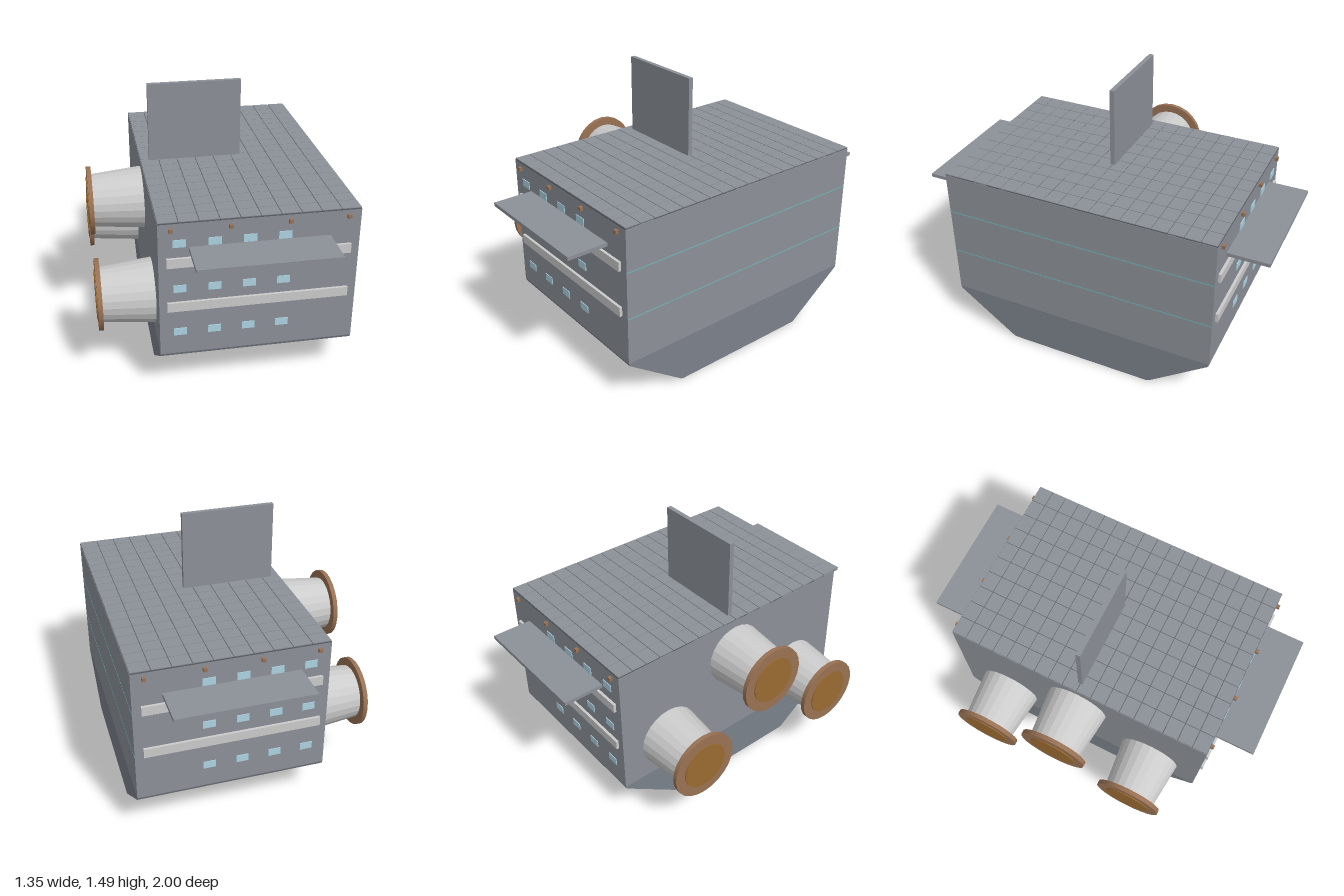
import * as THREE from 'three';

const paint = (color) => new THREE.MeshStandardMaterial({ color });

export function createModel() {
  const model = new THREE.Group();
  model.name = 'ship';

  const hullGrey = paint(0x8c9198);
  const keelGrey = paint(0x7b818b);
  const lightGrey = paint(0xcccccc);
  const coneGrey = paint(0xcccccc);
  coneGrey.flatShading = true;
  const glass = paint(0xaed4e4);
  const teal = paint(0x6fb3b5);
  const copper = paint(0x9a7254);
  const amber = paint(0x9a6a30);
  const seamGrey = paint(0x5c6066);

  const add = (name, geometry, material, parent = model) => {
    const mesh = new THREE.Mesh(geometry, material);
    mesh.name = name;
    parent.add(mesh);
    return mesh;
  };
  // Box given by its lower and upper limits on each axis
  const box = (name, [x0, x1], [y0, y1], [z0, z1], material, parent) => {
    const mesh = add(name, new THREE.BoxGeometry(x1 - x0, y1 - y0, z1 - z0), material, parent);
    mesh.position.set((x0 + x1) / 2, (y0 + y1) / 2, (z0 + z1) / 2);
    return mesh;
  };

  const X0 = -0.365, X1 = 0.67, Z = 0.775;

  // Main hull block, with a darker layer that shows between the roof plates
  box('hull', [X0, X1], [0.265, 1.03], [-Z, Z], hullGrey);
  box('roofSeams', [X0 + 0.002, X1 - 0.002], [1.03, 1.036], [-Z, Z], seamGrey);

  // Roof plating
  const roof = new THREE.Group();
  roof.name = 'roofPlating';
  model.add(roof);
  const cols = 10, rows = 18, gap = 0.002;
  const w = (X1 - X0) / cols, d = (2 * Z) / rows;
  for (let i = 0; i < cols; i++) {
    for (let j = 0; j < rows; j++) {
      const x = X0 + i * w, z = -Z + j * d;
      box('roofPlate', [x + gap, x + w - gap], [1.03, 1.04], [z + gap, z + d - gap], hullGrey, roof);
    }
  }

  // Tapered keel, a trapezoid extruded across the hull
  const section = new THREE.Shape([
    [-0.42, 0], [0.42, 0], [0.435, 0.006], [0.77, 0.25],
    [Z, 0.265], [-Z, 0.265], [-0.77, 0.25], [-0.435, 0.006],
  ].map(([a, b]) => new THREE.Vector2(a, b)));
  const keel = add('keel', new THREE.ExtrudeGeometry(section, { depth: X1 - X0, bevelEnabled: false }), keelGrey);
  keel.rotation.y = Math.PI / 2;
  keel.position.x = X0;

  // Deck seams along the plain side
  for (const y of [0.53, 0.795]) {
    box('deckSeam', [X1 - 0.01, X1 + 0.001], [y - 0.003, y + 0.003], [-Z, Z], teal);
  }

  // Top fin
  box('topFin', [-0.315, 0.205], [1.03, 1.485], [-0.013, 0.013], hullGrey);

  // Details repeated on the front and back walls
  for (const s of [1, -1]) {
    const wall = new THREE.Group();
    wall.name = s > 0 ? 'frontWall' : 'backWall';
    model.add(wall);
    const zSpan = (a, b) => (s > 0 ? [a, b] : [-b, -a]);

    box('sideFin', [-0.21, 0.515], [0.876, 0.896], zSpan(0.76, 1), hullGrey, wall);
    for (const y of [0.557, 0.815]) {
      box('band', [-0.325, 0.625], [y - 0.026, y + 0.026], zSpan(0.765, 0.79), lightGrey, wall);
    }
    for (const y of [0.4, 0.66, 0.92]) {
      for (let i = 0; i < 4; i++) {
        const x = -0.258 + i * 0.179;
        box('window', [x - 0.034, x + 0.034], [y - 0.021, y + 0.021], zSpan(0.765, 0.779), glass, wall);
      }
    }
    for (let i = 0; i < 4; i++) {
      const x = -0.302 + i * 0.302;
      box('lamp', [x - 0.01, x + 0.01], [0.988, 1.008], zSpan(0.77, 0.793), copper, wall);
    }
  }

  // Three engines on the side, the middle one higher
  for (const [y, z] of [[0.475, -0.47], [0.81, 0], [0.475, 0.47]]) {
    const engine = new THREE.Group();
    engine.name = 'engine';
    engine.position.set(0, y, z);
    model.add(engine);
    const disc = (name, outer, inner, x0, x1, material) => {
      const mesh = add(name, new THREE.CylinderGeometry(outer, inner, x1 - x0, 24), material, engine);
      mesh.rotation.z = Math.PI / 2;
      mesh.position.x = (x0 + x1) / 2;
    };
    disc('engineCone', 0.15, 0.179, -0.65, X0 + 0.005, coneGrey);
    disc('engineFlange', 0.195, 0.195, -0.67, -0.645, copper);
    disc('engineGlow', 0.135, 0.135, -0.675, -0.66, amber);
  }

  return model;
}
